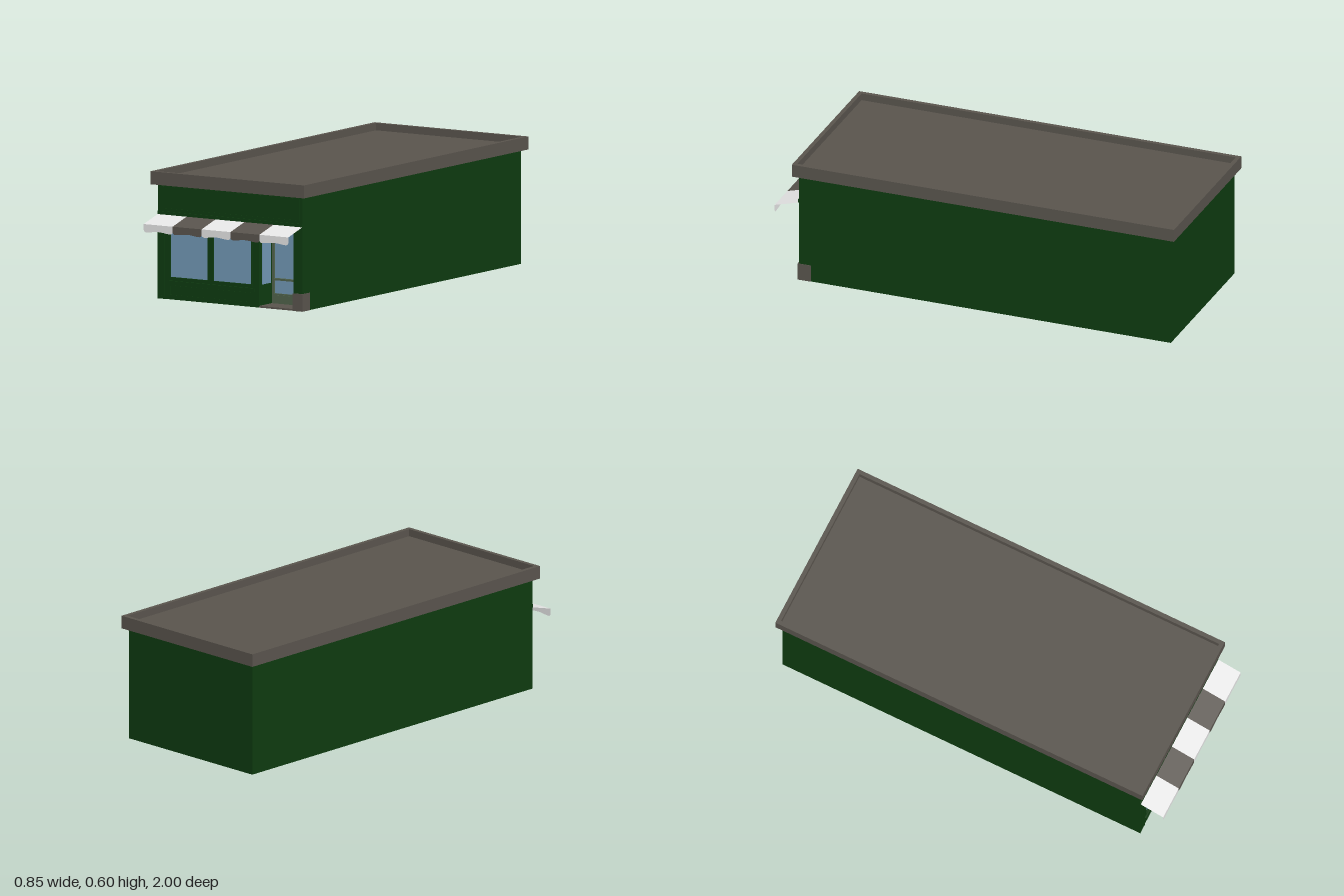
import * as THREE from 'three';

const mat = (name, color, side = THREE.FrontSide) => {
  const m = new THREE.MeshStandardMaterial({ color, side });
  m.name = name;
  return m;
};

export function createModel() {
  const root = new THREE.Group();
  root.name = 'shop';
  const green = mat('dark green paint', 0x0e3b10);
  const brown = mat('brown stone', 0x59544d);
  const glass = mat('blue glass', 0x7197b5);
  const sage = mat('sage door paint', 0x50634b);
  const whiteCloth = mat('white cloth', 0xe6e6e6, THREE.DoubleSide);
  const brownCloth = mat('brown cloth', 0x59544d, THREE.DoubleSide);

  const add = (name, geo, m, parent = root) => {
    const mesh = new THREE.Mesh(geo, m);
    mesh.name = name;
    parent.add(mesh);
    return mesh;
  };
  // Box given by its limits on each axis
  const box = (name, m, x0, x1, y0, y1, z0, z1, parent) => {
    const mesh = add(name, new THREE.BoxGeometry(x1 - x0, y1 - y0, z1 - z0), m, parent);
    mesh.position.set((x0 + x1) / 2, (y0 + y1) / 2, (z0 + z1) / 2);
    return mesh;
  };
  const poly = (pts) => new THREE.Shape(pts.map(([x, y]) => new THREE.Vector2(x, y)));
  const rect = (x0, x1, y0, y1) => poly([[x0, y0], [x1, y0], [x1, y1], [x0, y1]]);
  const extrude = (shape, depth) => new THREE.ExtrudeGeometry(shape, { depth, bevelEnabled: false });
  // Flat rectangular frame facing +z
  const frame = (name, m, x0, x1, y0, y1, w, z, depth) => {
    const s = rect(x0, x1, y0, y1);
    s.holes.push(rect(x0 + w, x1 - w, y0 + w, y1 - w));
    add(name, extrude(s, depth), m).position.z = z;
  };

  // Main body: notched footprint at street level, plain box above
  const lintel = 0.385, doorZ = 0.76;
  const plan = poly([[-0.4, -0.87], [0.16, -0.87], [0.16, -doorZ], [0.35, -doorZ],
    [0.35, -0.87], [0.4, -0.87], [0.4, 0.975], [-0.4, 0.975]]);
  const lower = extrude(plan, lintel);
  lower.rotateX(-Math.PI / 2);
  add('lowerWalls', lower, green);
  box('upperWalls', green, -0.4, 0.4, lintel, 0.54, -0.975, 0.87);

  // Facade skin with openings for the windows and the entrance
  const windows = [[-0.333, -0.125], [-0.093, 0.115]];
  const face = poly([[-0.4, 0], [0.16, 0], [0.16, lintel], [0.35, lintel],
    [0.35, 0], [0.4, 0], [0.4, 0.537], [-0.4, 0.537]]);
  windows.forEach(([a, b]) => face.holes.push(rect(a, b, 0.105, 0.375)));
  add('facade', extrude(face, 0.009), green).position.z = 0.87;

  // Shop windows with frames and base panels
  windows.forEach(([a, b]) => {
    box('windowGlass', glass, a, b, 0.105, 0.375, 0.87, 0.873);
    frame('windowFrame', green, a - 0.008, b + 0.008, 0.097, 0.383, 0.008, 0.878, 0.003);
    frame('basePanel', green, a, b, 0.018, 0.066, 0.004, 0.878, 0.003);
  });
  box('windowSill', green, -0.35, 0.135, 0.072, 0.088, 0.875, 0.886);

  // Pilaster and sign mouldings
  box('pilaster', green, -0.4, -0.35, 0, 0.385, 0.875, 0.881);
  frame('pilasterMoulding', green, -0.393, -0.36, 0.012, 0.375, 0.004, 0.88, 0.003);
  frame('signMoulding', green, -0.385, 0.385, 0.42, 0.527, 0.005, 0.878, 0.003);
  box('signLedge', green, -0.4, 0.4, 0.395, 0.41, 0.875, 0.884);

  // Recessed entrance with side window and door
  box('sideWindow', glass, 0.158, 0.162, 0.105, 0.37, 0.78, 0.855);
  box('entranceFloor', brown, 0.16, 0.35, 0, 0.008, doorZ, 0.88);
  const doorShape = rect(0.16, 0.35, 0.008, lintel);
  doorShape.holes.push(rect(0.173, 0.34, 0.055, 0.37));
  add('doorFrame', extrude(doorShape, 0.012), sage).position.z = doorZ;
  box('doorGlass', glass, 0.173, 0.34, 0.055, 0.37, doorZ, doorZ + 0.004);
  box('doorBar', sage, 0.173, 0.34, 0.118, 0.127, doorZ, doorZ + 0.02);
  const kick = poly([[0.17, 0.016], [0.342, 0.016], [0.334, 0.048], [0.178, 0.048]]);
  add('kickPlate', extrude(kick, 0.004), sage).position.z = doorZ + 0.011;

  // Corner plinth
  box('cornerPlinth', brown, 0.349, 0.403, 0, 0.082, 0.82, 0.885);

  // Roof deck with raised rim
  box('roofDeck', brown, -0.42, 0.42, 0.535, 0.562, -0.995, 0.9);
  const rim = rect(-0.425, 0.425, -0.905, 1);
  rim.holes.push(rect(-0.405, 0.405, -0.885, 0.98));
  const rimGeo = extrude(rim, 0.061);
  rimGeo.rotateX(-Math.PI / 2);
  add('roofRim', rimGeo, brown).position.y = 0.535;

  // Striped awning: sloping cloth and a scalloped valance
  const awning = new THREE.Group();
  awning.name = 'awning';
  root.add(awning);
  const drop = 0.033, reach = 0.12;
  for (let i = 0; i < 5; i++) {
    const m = i % 2 ? brownCloth : whiteCloth;
    const x = -0.32 + i * 0.16;
    const slope = new THREE.PlaneGeometry(0.16, Math.hypot(drop, reach));
    slope.rotateX(-Math.PI / 2 + Math.atan2(drop, reach));
    add('awningStripe', slope, m, awning).position.set(x, 0.395 - drop / 2, 0.88 + reach / 2);
    const v = new THREE.Shape();
    v.moveTo(-0.08, 0);
    v.lineTo(-0.08, -0.028);
    v.quadraticCurveTo(-0.077, -0.038, -0.065, -0.038);
    v.bezierCurveTo(-0.035, -0.037, -0.03, -0.032, 0, -0.032);
    v.bezierCurveTo(0.03, -0.032, 0.035, -0.037, 0.065, -0.038);
    v.quadraticCurveTo(0.077, -0.038, 0.08, -0.028);
    v.lineTo(0.08, 0);
    add('valanceStripe', new THREE.ShapeGeometry(v, 6), m, awning).position.set(x, 0.362, 1);
  }
  return root;
}
